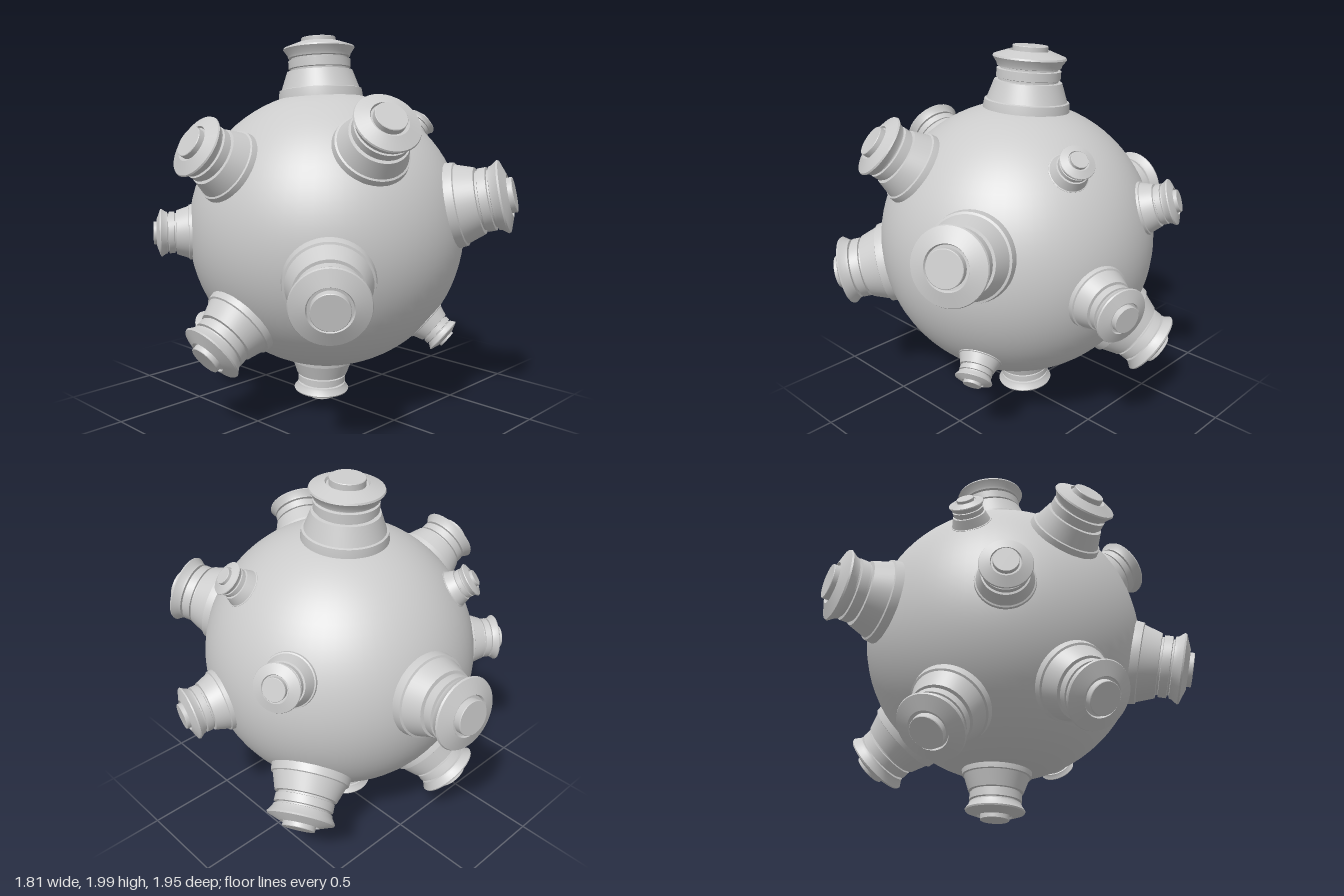
import * as THREE from 'three';
import { toCreasedNormals } from 'three/addons/utils/BufferGeometryUtils.js';

const RADIUS = 0.735;
const CENTRE = new THREE.Vector3(-0.015, 0.975, 0.025);

// Knob directions (x, y, z) from the sphere centre, and relative size
const KNOBS = [
  [0.02, 1.02, -0.08, 1.02],    // top
  [0.01, -0.96, -0.05, 0.81],   // bottom
  [-0.31, 0.61, 0.70, 0.88],    // front, upper
  [0.43, 0.215, 0.88, 1.0],     // front
  [-0.70, -0.21, 0.70, 1.0],    // front, side
  [0.285, -0.57, 0.63, 0.52],   // front, small
  [0.675, -0.60, -0.405, 0.97], // back, lower
  [0.90, -0.11, 0.21, 0.76],    // side
  [0.60, 0.595, 0.20, 0.48],    // side, small
  [0.77, 0.29, -0.38, 0.64],    // side, upper
  [-0.85, 0.50, -0.09, 0.86],   // opposite side, upper
  [-0.80, -0.56, -0.04, 0.90],  // opposite side, lower
  [0.10, 0.12, -0.99, 1.0],     // back
  [-0.29, -0.70, -0.64, 0.92],  // back, lower
  [-0.44, 0.50, -0.56, 0.48],   // back, small
  [-0.74, 0.0, -0.53, 0.67],    // back, side
];

// Turned outline of a knob, from buried base to tip; the tip lies at y = 0
const BODY = [
  [0.222, -0.42], [0.222, -0.315], [0.216, -0.272],      // base collar
  [0.205, -0.268], [0.172, -0.175],                      // tapered skirt
  [0.152, -0.173], [0.152, -0.163],                      // lower groove
  [0.163, -0.16], [0.163, -0.118],                       // middle band
  [0.147, -0.115], [0.147, -0.107],                      // upper groove
  [0.162, -0.104], [0.166, -0.09], [0.187, -0.06], [0.183, -0.051], // flared head
  [0.108, -0.024], [0.102, -0.036], [0, -0.036],         // bevel and recess
];
const CAP = [[0.09, -0.045], [0.09, -0.003], [0.087, 0], [0, 0]];

function turned(points) {
  const outline = points.map(([r, y]) => new THREE.Vector2(r, y));
  return toCreasedNormals(new THREE.LatheGeometry(outline, 48), Math.PI / 7);
}

export function createModel() {
  const model = new THREE.Group();
  model.name = 'knobbedSphere';
  const material = new THREE.MeshStandardMaterial({ color: 0xcccccc });

  const add = (parent, geometry, name) => {
    const mesh = new THREE.Mesh(geometry, material);
    mesh.name = name;
    parent.add(mesh);
    return mesh;
  };

  // Main body
  add(model, new THREE.SphereGeometry(RADIUS, 64, 40), 'sphere').position.copy(CENTRE);

  // Stepped knobs standing out along their own radius
  const bodyGeometry = turned(BODY);
  const capGeometry = turned(CAP);
  const up = new THREE.Vector3(0, 1, 0);
  KNOBS.forEach(([x, y, z, size], i) => {
    const knob = new THREE.Group();
    knob.name = `knob${i + 1}`;
    add(knob, bodyGeometry, 'knobBody');
    add(knob, capGeometry, 'knobCap');
    const direction = new THREE.Vector3(x, y, z).normalize();
    knob.quaternion.setFromUnitVectors(up, direction);
    knob.position.copy(CENTRE).addScaledVector(direction, 0.715 + 0.3 * size);
    knob.scale.setScalar(size);
    model.add(knob);
  });

  return model;
}
